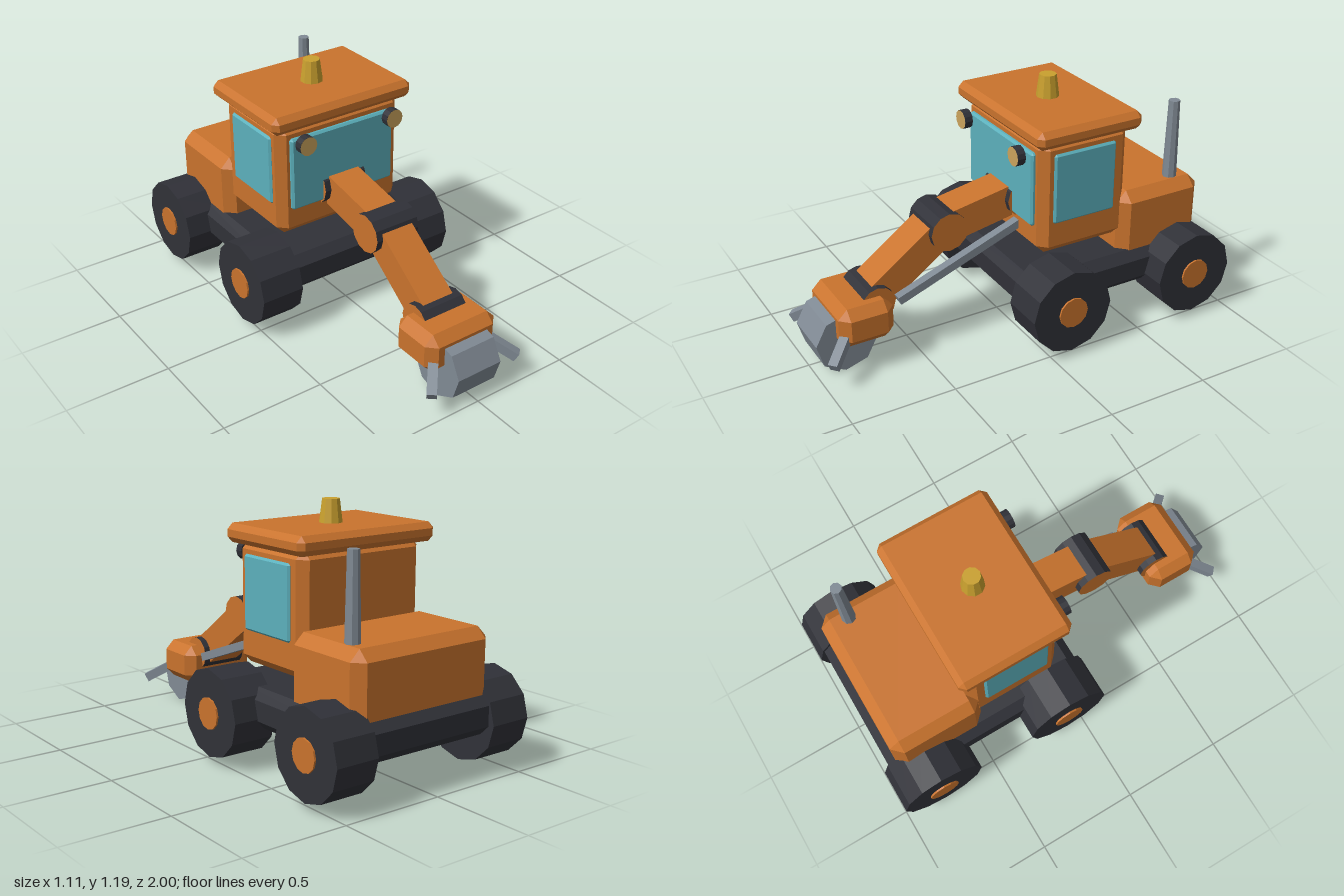
import * as THREE from 'three';
import { ConvexGeometry } from 'three/addons/geometries/ConvexGeometry.js';

function paint(name, color) {
  const m = new THREE.MeshStandardMaterial({ color, flatShading: true });
  m.name = name;
  return m;
}

export function createModel() {
  const orange = paint('orange paint', 0xc9732d);
  const dark = paint('dark rubber', 0x303138);
  const glass = paint('teal glass', 0x5cb0bc);
  const steel = paint('grey steel', 0x808a94);
  const amber = paint('amber beacon', 0xc9a02e);
  const lens = paint('lamp lens', 0xcba35c);

  const model = new THREE.Group();
  model.name = 'roadheaderVehicle';

  function add(name, geometry, material, x = 0, y = 0, z = 0) {
    const mesh = new THREE.Mesh(geometry, material);
    mesh.name = name;
    mesh.position.set(x, y, z);
    model.add(mesh);
    return mesh;
  }

  // Box with every edge chamfered, given by its min and max corners
  function chamferBox(name, material, min, max, c) {
    const half = min.map((v, i) => (max[i] - v) / 2);
    const points = [];
    for (const sx of [-1, 1]) for (const sy of [-1, 1]) for (const sz of [-1, 1]) {
      for (let axis = 0; axis < 3; axis++) {
        const p = half.map((h, i) => (i === axis ? h : h - c));
        points.push(new THREE.Vector3(sx * p[0], sy * p[1], sz * p[2]));
      }
    }
    return add(name, new ConvexGeometry(points), material,
      (min[0] + max[0]) / 2, (min[1] + max[1]) / 2, (min[2] + max[2]) / 2);
  }

  // Cylinder lying along x
  function axleCylinder(name, material, r, width, sides, x, y, z) {
    const g = new THREE.CylinderGeometry(r, r, width, sides).rotateZ(Math.PI / 2);
    return add(name, g, material, x, y, z);
  }

  // Rectangular bar between two points
  function beam(name, material, from, to, width, height) {
    const a = new THREE.Vector3(...from), b = new THREE.Vector3(...to);
    const mesh = add(name, new THREE.BoxGeometry(width, height, a.distanceTo(b)), material);
    mesh.position.copy(a).add(b).multiplyScalar(0.5);
    mesh.lookAt(b);
    return mesh;
  }

  // Body
  chamferBox('chassis', dark, [-0.425, 0.19, -0.965], [0.425, 0.375, 0.075], 0.045);
  chamferBox('engineHood', orange, [-0.385, 0.32, -0.925], [0.385, 0.67, -0.46], 0.05);
  chamferBox('cab', orange, [-0.345, 0.445, -0.51], [0.345, 1.015, -0.035], 0.042);
  chamferBox('roof', orange, [-0.388, 0.995, -0.555], [0.388, 1.083, 0.005], 0.027);

  // Windows
  chamferBox('windshield', glass, [-0.288, 0.585, -0.06], [0.288, 0.952, -0.015], 0.01);
  for (const s of [-1, 1]) {
    chamferBox('sideWindow', glass, [s * 0.33 - 0.026, 0.605, -0.43],
      [s * 0.33 + 0.026, 0.952, -0.098], 0.01);
  }

  // Wheels and hubs
  for (const s of [-1, 1]) for (const z of [-0.09, -0.79]) {
    axleCylinder('wheel', dark, 0.207, 0.215, 12, s * 0.4375, 0.243, z);
    axleCylinder('hub', orange, 0.075, 0.1, 12, s * 0.504, 0.243, z);
  }

  // Beacon and exhaust
  add('beacon', new THREE.CylinderGeometry(0.041, 0.056, 0.115, 10), amber, 0, 1.133, -0.275);
  add('exhaust', new THREE.CylinderGeometry(0.027, 0.035, 0.42, 8), steel, 0.3, 0.85, -0.79);

  // Work lamps with lens on the front cap
  for (const s of [-1, 1]) {
    const lamp = new THREE.CylinderGeometry(0.046, 0.046, 0.04, 12).rotateX(Math.PI / 2);
    add('workLamp', lamp, [dark, dark, dark], s * 0.243, 0.94, 0.036);
    add('lampLens', new THREE.CircleGeometry(0.046, 12), lens, s * 0.243, 0.94, 0.0575);
  }

  // Arm with dark-rimmed pivots
  const shoulder = [0, 0.64, -0.09], elbow = [0, 0.565, 0.313], wrist = [0, 0.295, 0.685];
  const pivot = [dark, orange, orange];
  axleCylinder('shoulderPivot', pivot, 0.095, 0.234, 12, ...shoulder);
  axleCylinder('elbowPivot', pivot, 0.095, 0.234, 12, ...elbow);
  axleCylinder('wristPivot', pivot, 0.085, 0.234, 12, ...wrist);
  beam('upperArm', orange, shoulder, elbow, 0.17, 0.155);
  beam('forearm', orange, elbow, [0, 0.315, 0.657], 0.17, 0.15);
  beam('hydraulicRam', steel, [0.125, 0.54, -0.06], [0.125, 0.297, 0.592], 0.043, 0.04);

  // Cutting head, drum and side tines
  chamferBox('cutterHousing', orange, [-0.198, 0.145, 0.632], [0.198, 0.34, 0.9], 0.045);
  axleCylinder('cutterDrum', steel, 0.15, 0.24, 8, 0, 0.15, 0.85).rotation.x = -0.1;
  for (const s of [-1, 1]) {
    beam('sideTine', steel, [s * 0.13, 0.224, 0.838], [s * 0.247, 0.125, 0.972], 0.045, 0.045);
  }

  return model;
}
